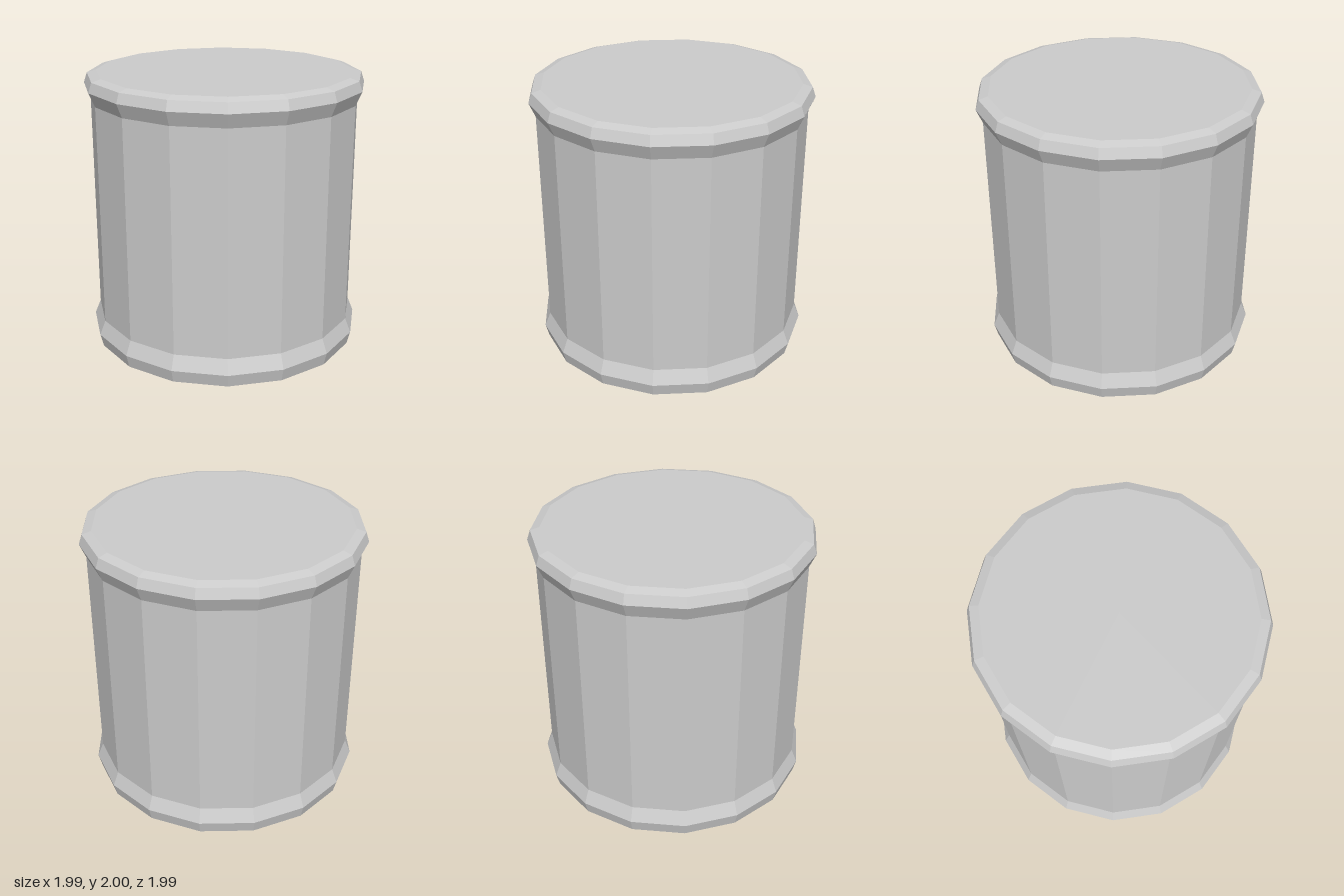
import * as THREE from 'three';

const SIDES = 16;
const TURN = THREE.MathUtils.degToRad(7.5); // the facets are turned slightly off the axes

export function createModel() {
  const group = new THREE.Group();
  group.name = 'drum';
  const material = new THREE.MeshStandardMaterial({ color: 0xcccccc, flatShading: true });

  // Faceted ring from [radius, height] points, listed from bottom to top
  function addLathe(name, profile) {
    const points = profile.map(([r, y]) => new THREE.Vector2(r, y));
    const mesh = new THREE.Mesh(new THREE.LatheGeometry(points, SIDES, TURN), material);
    mesh.name = name;
    group.add(mesh);
  }

  // Flared foot with a flat underside
  addLathe('bottomRim', [[0, 0], [0.98, 0], [1.004, 0.095], [0.961, 0.2]]);

  // Straight wall
  addLathe('body', [[0.961, 0.2], [0.961, 1.81]]);

  // Flared lid with a shallow bevel up to the flat top
  addLathe('topRim', [[0.961, 1.81], [1.004, 1.91], [0.98, 1.98], [0.915, 2], [0, 2]]);

  return group;
}
